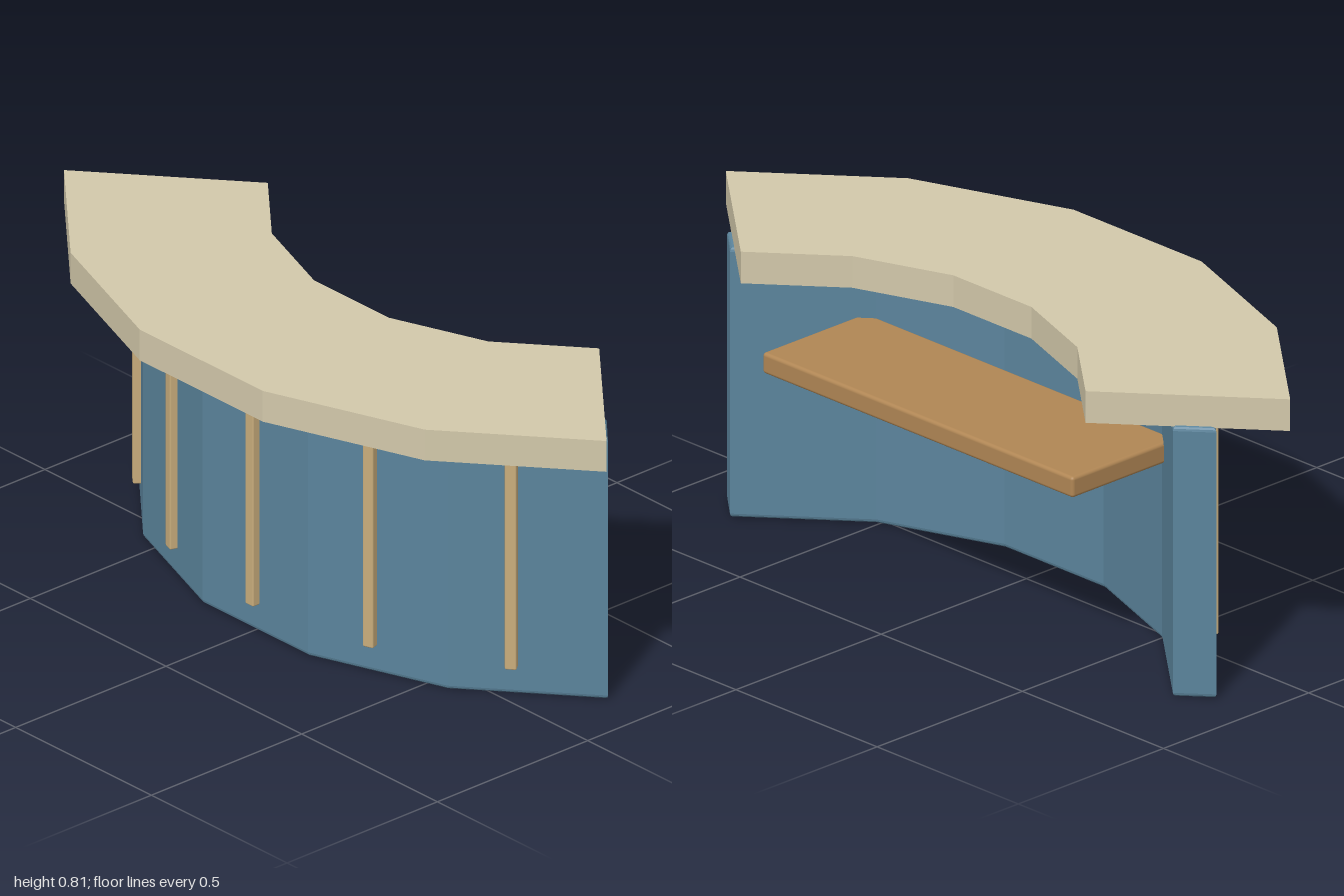
import * as THREE from 'three';
import { RoundedBoxGeometry } from 'three/addons/geometries/RoundedBoxGeometry.js';

const ARC_Z = -0.902;                     // centre of the desk's arc
const HALF = THREE.MathUtils.degToRad(50); // half of the arc's sweep
const SEGMENTS = 5;

// Faceted arc band in plan, from inner to outer radius
function bandShape(inner, outer) {
  const points = [];
  const at = (r, a) => new THREE.Vector2(r * Math.sin(a), ARC_Z + r * Math.cos(a));
  for (let i = 0; i <= SEGMENTS; i++) points.push(at(outer, HALF - (2 * HALF * i) / SEGMENTS));
  for (let i = 0; i <= SEGMENTS; i++) points.push(at(inner, -HALF + (2 * HALF * i) / SEGMENTS));
  return new THREE.Shape(points);
}

// Band standing between two heights, with an optional rounded edge
function bandGeometry(inner, outer, bottom, top, bevel = 0) {
  const geometry = new THREE.ExtrudeGeometry(bandShape(inner, outer), {
    depth: top - bottom - 2 * bevel,
    bevelEnabled: bevel > 0,
    bevelSize: bevel,
    bevelThickness: bevel,
    bevelSegments: 3,
  });
  geometry.rotateX(Math.PI / 2);
  geometry.translate(0, top - bevel, 0);
  return geometry;
}

export function createModel() {
  const group = new THREE.Group();
  const add = (name, geometry, color) => {
    const mesh = new THREE.Mesh(geometry, new THREE.MeshStandardMaterial({ color }));
    mesh.name = name;
    group.add(mesh);
    return mesh;
  };

  // Curved front panel and the overhanging counter
  add('curvedPanel', bandGeometry(1.024, 1.111, 0, 0.725, 0.011), 0x5b849c);
  add('counterTop', bandGeometry(0.797, 1.305, 0.722, 0.807), 0xd2c8aa);

  // Work shelf on the inner side
  const shelf = add('workShelf', new RoundedBoxGeometry(1.1, 0.056, 0.357, 3, 0.009), 0xb08654);
  shelf.position.set(0, 0.523, -0.197);

  // Upright trim strips fanned around the front
  const strip = new RoundedBoxGeometry(0.03, 0.62, 0.03, 2, 0.004);
  for (let i = -2; i <= 2; i++) {
    const angle = THREE.MathUtils.degToRad(19.1 * i);
    const mesh = add('trimStrip', strip, 0xc9ad7c);
    mesh.position.set(1.111 * Math.sin(angle), 0.385, ARC_Z + 1.111 * Math.cos(angle));
    mesh.rotation.y = angle;
  }
  return group;
}
